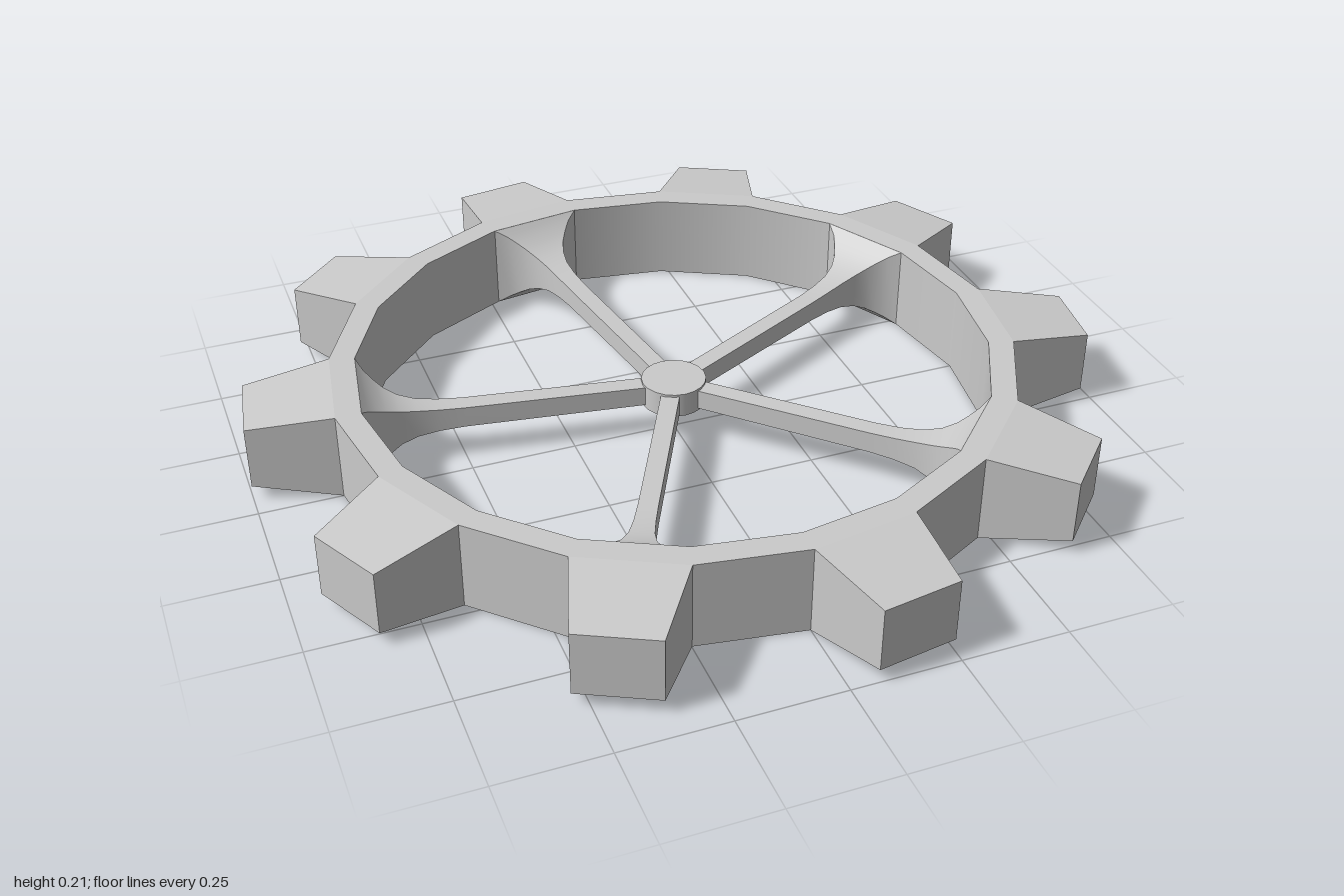
import * as THREE from 'three';

const H = 0.213, MID = H / 2, STEP = Math.PI / 10;
const R_IN = 0.745, R_OUT = 0.805, R_TIP = 1.002;
const material = new THREE.MeshStandardMaterial({ color: 0xcccccc });

const polar = (r, a, y) => [r * Math.sin(a), y, r * Math.cos(a)];

function addMesh(parent, name, geometry) {
  const mesh = new THREE.Mesh(geometry, material);
  mesh.name = name;
  parent.add(mesh);
  return mesh;
}

// Separate flat quads, each given as four counter-clockwise corners
function quadGeometry(quads) {
  const pos = quads.flatMap(([a, b, c, d]) => [a, b, c, a, c, d]).flat();
  const g = new THREE.BufferGeometry();
  g.setAttribute('position', new THREE.Float32BufferAttribute(pos, 3));
  g.computeVertexNormals();
  return g;
}

// Top and bottom faces of the rim, with the outer wall in the gaps between teeth
function rimGeometry() {
  const quads = [];
  for (let k = 0; k < 20; k++) {
    const a = k * STEP, b = a + STEP;
    quads.push([polar(R_IN, a, H), polar(R_OUT, a, H), polar(R_OUT, b, H), polar(R_IN, b, H)]);
    quads.push([polar(R_IN, b, 0), polar(R_OUT, b, 0), polar(R_OUT, a, 0), polar(R_IN, a, 0)]);
    if (k % 2) quads.push([polar(R_OUT, a, 0), polar(R_OUT, b, 0), polar(R_OUT, b, H), polar(R_OUT, a, H)]);
  }
  return quadGeometry(quads);
}

// One tooth, tapering in width and height towards its tip
function toothGeometry() {
  const half = 0.0938, lo = 0.033, hi = H - 0.027;
  const base = (s, y) => polar(R_OUT, s * STEP / 2, y);
  const tip = (s, y) => polar(R_TIP, s * half, y);
  return quadGeometry([
    [base(-1, H), tip(-1, hi), tip(1, hi), base(1, H)],
    [base(1, 0), tip(1, lo), tip(-1, lo), base(-1, 0)],
    [tip(-1, lo), tip(1, lo), tip(1, hi), tip(-1, hi)],
    [base(-1, 0), tip(-1, lo), tip(-1, hi), base(-1, H)],
    [base(1, H), tip(1, hi), tip(1, lo), base(1, 0)],
  ]);
}

// Rectangular spoke along +z, flaring to the full rim height at its outer end
function spokeGeometry() {
  // distance from centre, half width, half height
  const sections = [
    [0.05, 0.022, 0.024], [0.5, 0.0225, 0.026], [0.56, 0.024, 0.029], [0.61, 0.028, 0.035],
    [0.65, 0.038, 0.045], [0.68, 0.053, 0.059], [0.7, 0.069, 0.073], [0.72, 0.089, 0.089],
    [0.736, 0.1165, MID],
  ];
  const corners = [[-1, -1], [1, -1], [1, 1], [-1, 1]];
  const pos = [], index = [];
  corners.forEach((c, s) => {
    const d = corners[(s + 1) % 4], start = pos.length / 3;
    sections.forEach(([z, w, h], i) => {
      pos.push(c[0] * w, c[1] * h, z, d[0] * w, d[1] * h, z);
      if (i === 0) return;
      const q = start + 2 * i;
      index.push(q - 2, q - 1, q + 1, q - 2, q + 1, q);
    });
  });
  const g = new THREE.BufferGeometry();
  g.setAttribute('position', new THREE.Float32BufferAttribute(pos, 3));
  g.setIndex(index);
  g.computeVertexNormals();
  return g;
}

export function createModel() {
  const model = new THREE.Group();
  model.name = 'spokedGear';

  // Rim
  addMesh(model, 'rim', rimGeometry());
  const inner = [new THREE.Vector2(R_IN, H), new THREE.Vector2(R_IN, 0)];
  addMesh(model, 'rimInnerWall', new THREE.LatheGeometry(inner, 20));

  // Teeth
  const tooth = toothGeometry();
  for (let i = 0; i < 10; i++) {
    addMesh(model, 'tooth', tooth).rotation.y = (2 * i + 0.5) * STEP;
  }

  // Spokes, one behind every second tooth
  const spoke = spokeGeometry();
  for (let i = 0; i < 5; i++) {
    const mesh = addMesh(model, 'spoke', spoke);
    mesh.rotation.y = (4 * i + 2.5) * STEP;
    mesh.position.y = MID;
  }

  // Hub
  addMesh(model, 'hub', new THREE.CylinderGeometry(0.077, 0.077, 0.06, 20)).position.y = MID;

  return model;
}
